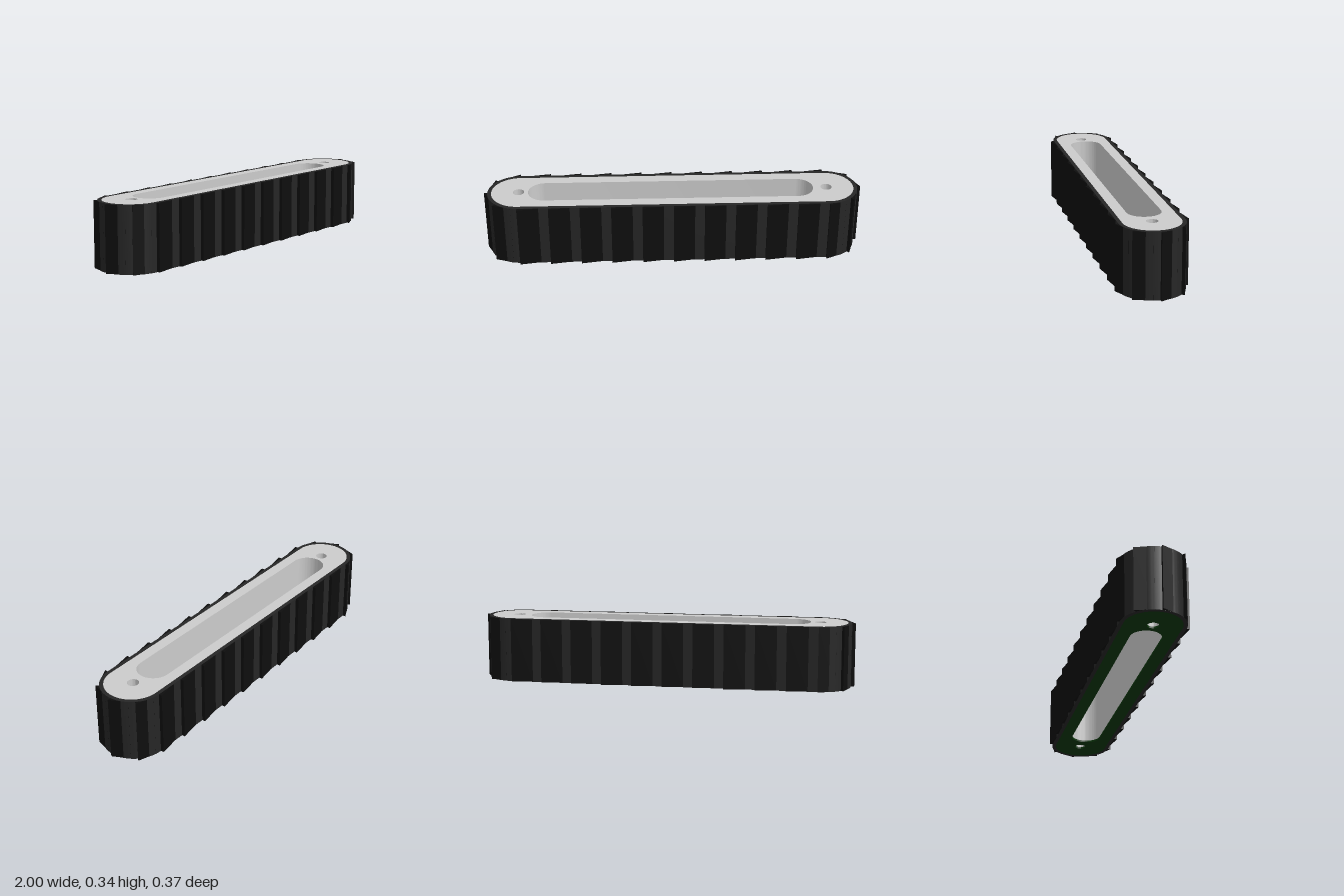
import * as THREE from 'three';
import { toCreasedNormals } from 'three/addons/utils/BufferGeometryUtils.js';

const H = 0.34;        // overall height
const END = 0.817;     // x of the end arc centres
const HUB_R = 0.145, BELT_R = 0.165, TIP_R = 0.183;
const PLATE = 0.01;    // bottom plate thickness

// Rounded-end outline; y of the shape runs towards the back
function stadium(Type, half, r, cx = 0) {
  const s = new Type();
  s.absarc(cx + half, 0, r, -Math.PI / 2, Math.PI / 2, false);
  s.absarc(cx - half, 0, r, Math.PI / 2, Math.PI * 1.5, false);
  s.closePath();
  return s;
}

function slab(name, shape, y0, y1, color) {
  const raw = new THREE.ExtrudeGeometry(shape, { depth: y1 - y0, bevelEnabled: false, curveSegments: 32 });
  raw.rotateX(-Math.PI / 2).translate(0, y0, 0);
  const mesh = new THREE.Mesh(toCreasedNormals(raw, 0.5), new THREE.MeshStandardMaterial({ color }));
  mesh.name = name;
  return mesh;
}

// Hub outline with the long slot and two pin holes
function hubShape(slotR) {
  const s = stadium(THREE.Shape, END, HUB_R);
  s.holes.push(stadium(THREE.Path, 0.67, slotR, -0.01));
  for (const x of [-END, END]) {
    const hole = new THREE.Path();
    hole.absarc(x, 0, 0.03, 0, Math.PI * 2, true);
    s.holes.push(hole);
  }
  return s;
}

// Wedge cross-sections [tail, base, tip] for half of the loop
function wedgeSections() {
  const out = [];
  const pitch = (2 * END) / 10;
  for (let i = 1; i <= 10; i++) {
    const x = -END + i * pitch;
    out.push([[x - 0.112, BELT_R], [x, BELT_R], [x, TIP_R]]);
  }
  const polar = (r, deg) => {
    const a = THREE.MathUtils.degToRad(deg);
    return [END + r * Math.cos(a), r * Math.sin(a)];
  };
  for (let k = 1; k <= 4; k++) {
    const a = 90 - k * 45;
    out.push([polar(BELT_R, a + 33), polar(BELT_R, a), polar(TIP_R, a)]);
  }
  return out;
}

export function createModel() {
  const group = new THREE.Group();
  group.name = 'trackUnit';

  // Solid core and the green plate under it
  group.add(slab('hub', hubShape(0.087), PLATE, H, 0xcccccc));
  group.add(slab('bottomPlate', hubShape(0.08), 0, PLATE, 0x0b380b));

  // Belt around the core
  const belt = stadium(THREE.Shape, END, BELT_R);
  belt.holes.push(stadium(THREE.Path, END, HUB_R));
  group.add(slab('belt', belt, 0, H, 0x262626));

  // Sawtooth treads, the second half turned by 180 degrees
  const treads = new THREE.Group();
  treads.name = 'treads';
  for (const sign of [1, -1]) {
    for (const section of wedgeSections()) {
      const shape = new THREE.Shape(section.map(([x, y]) => new THREE.Vector2(x * sign, y * sign)));
      treads.add(slab('tread', shape, 0.001, H - 0.001, 0x0e0e0e));
    }
  }
  group.add(treads);
  return group;
}
